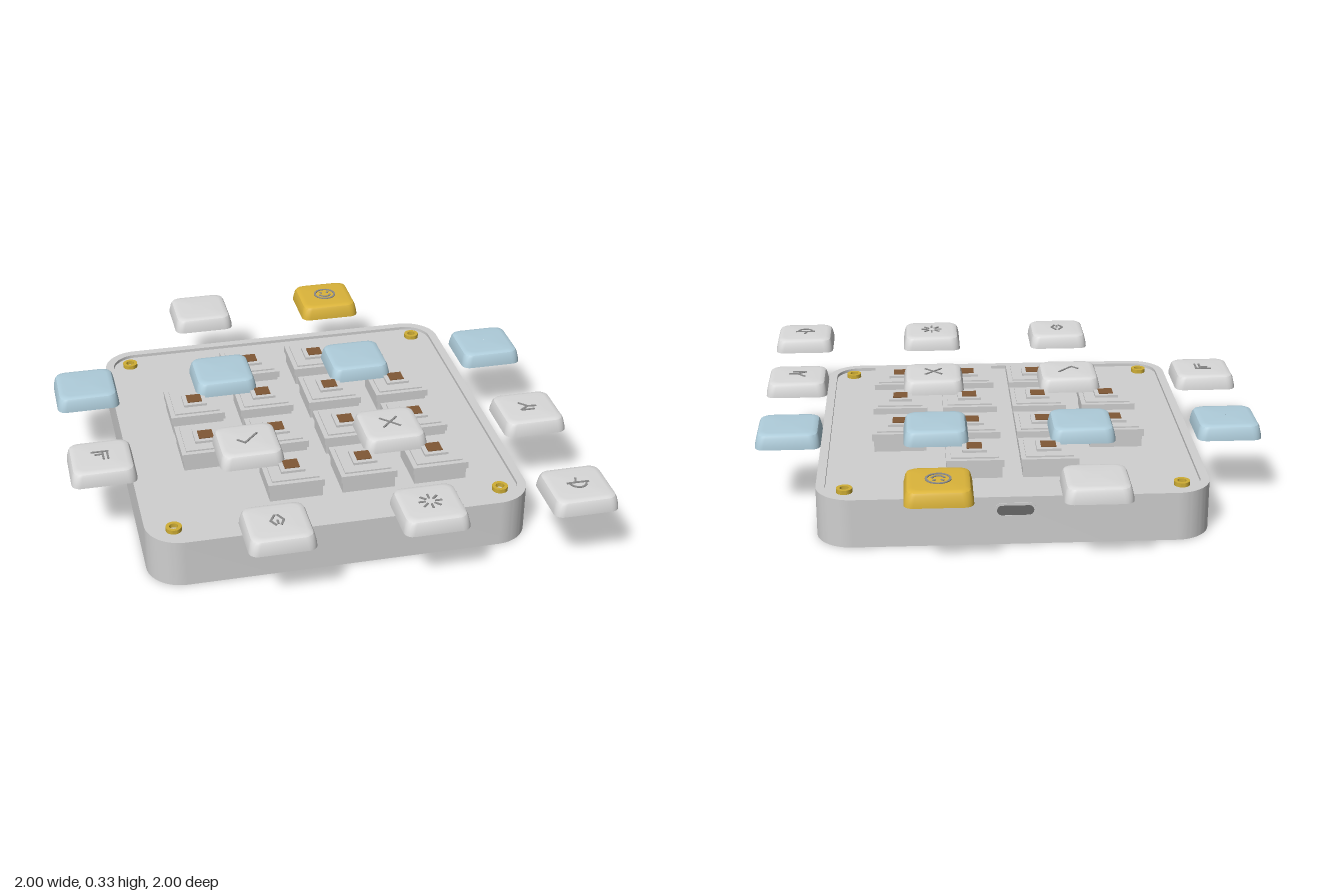
import * as THREE from 'three';
import { toCreasedNormals } from 'three/addons/utils/BufferGeometryUtils.js';

const mat = (name, color) => {
  const m = new THREE.MeshStandardMaterial({ color });
  m.name = name;
  return m;
};

// Rounded rectangle outline (half sizes)
function roundedRect(hx, hy, r, Type = THREE.Shape) {
  const s = new Type();
  s.absarc(hx - r, hy - r, r, 0, Math.PI / 2);
  s.absarc(r - hx, hy - r, r, Math.PI / 2, Math.PI);
  s.absarc(r - hx, r - hy, r, Math.PI, Math.PI * 1.5);
  s.absarc(hx - r, r - hy, r, Math.PI * 1.5, Math.PI * 2);
  s.closePath();
  return s;
}

// Flat shape raised along y
function slab(shape, y0, y1) {
  const g = new THREE.ExtrudeGeometry(shape, { depth: y1 - y0, bevelEnabled: false, curveSegments: 12 });
  g.rotateX(-Math.PI / 2).translate(0, y0, 0);
  return toCreasedNormals(g, 0.6);
}

// Skin through rounded-square rings [half size, corner radius, y]
function loft(rings) {
  const pos = [], idx = [], seg = 5, n = 4 * (seg + 1);
  for (const [h, r, y] of rings) {
    for (let c = 0; c < 4; c++) {
      const mid = (c + 0.5) * Math.PI / 2;
      for (let k = 0; k <= seg; k++) {
        const a = (c + k / seg) * Math.PI / 2;
        const x = Math.sign(Math.cos(mid)) * (h - r) + Math.cos(a) * r;
        const z = Math.sign(Math.sin(mid)) * (h - r) + Math.sin(a) * r;
        pos.push(x, y, -z);
      }
    }
  }
  for (let i = 0; i < rings.length - 1; i++) {
    for (let j = 0; j < n; j++) {
      const a = i * n + j, b = i * n + (j + 1) % n;
      idx.push(a, b, b + n, a, b + n, a + n);
    }
  }
  const g = new THREE.BufferGeometry();
  g.setAttribute('position', new THREE.Float32BufferAttribute(pos, 3));
  g.setIndex(idx);
  return toCreasedNormals(g, 0.5);
}

// Points of an arc in the x-z plane
const arc = (r, a0, a1, n = 12) => Array.from({ length: n + 1 }, (_, i) => {
  const a = a0 + (a1 - a0) * i / n;
  return [r * Math.cos(a), r * Math.sin(a)];
});

export function createModel() {
  const model = new THREE.Group();
  model.name = 'macroPad';
  const caseMat = mat('case grey', 0xd0d0d0);
  const capMat = mat('key white', 0xdadada);
  const blue = mat('key blue', 0xafcddb);
  const yellow = mat('key yellow', 0xdbb43a);
  const brown = mat('stem brown', 0x805835);
  const gold = mat('screw gold', 0xcfae35);
  const legendMat = mat('legend grey', 0x8c8c8c);
  const dark = mat('port dark', 0x6a6a6a);

  const add = (parent, name, geo, material, x = 0, y = 0, z = 0) => {
    const m = new THREE.Mesh(geo, material);
    m.name = name;
    m.position.set(x, y, z);
    parent.add(m);
    return m;
  };

  // Case rim with a sunken top plate
  const rim = roundedRect(0.755, 0.755, 0.14);
  rim.holes.push(roundedRect(0.72, 0.72, 0.105, THREE.Path));
  add(model, 'caseWall', slab(rim, 0, 0.195), caseMat);
  add(model, 'topPlate', slab(roundedRect(0.72, 0.72, 0.105), 0, 0.182), caseMat);

  // Cable port on the back
  const portRim = roundedRect(0.08, 0.03, 0.029);
  portRim.holes.push(roundedRect(0.07, 0.02, 0.019, THREE.Path));
  const ringGeo = new THREE.ExtrudeGeometry(portRim, { depth: 0.004, bevelEnabled: false });
  add(model, 'portRim', ringGeo, caseMat, 0, 0.14, -0.758);
  const portGeo = new THREE.ExtrudeGeometry(roundedRect(0.07, 0.02, 0.019), { depth: 0.003, bevelEnabled: false });
  add(model, 'portOpening', portGeo, dark, 0, 0.14, -0.7565);

  // Corner screws
  const screw = new THREE.Shape().absarc(0, 0, 0.031, 0, Math.PI * 2);
  screw.holes.push(new THREE.Path().absarc(0, 0, 0.017, 0, Math.PI * 2));
  const screwGeo = slab(screw, 0.18, 0.199);
  for (const x of [-0.645, 0.645]) {
    for (const z of [-0.645, 0.645]) add(model, 'screw', screwGeo, gold, x, 0, z);
  }

  // Switch body tiers [name, width, bottom, top, material]
  const tiers = [
    ['switchBase', 0.21, 0.18, 0.23, caseMat],
    ['switchFlange', 0.224, 0.23, 0.259, caseMat],
    ['switchLid', 0.186, 0.255, 0.265, caseMat],
    ['switchCollar', 0.096, 0.26, 0.275, caseMat],
    ['switchStem', 0.06, 0.265, 0.278, brown],
  ].map(([name, w, y0, y1, m]) => [name, new THREE.BoxGeometry(w, y1 - y0, w), m, (y0 + y1) / 2]);

  // Hollow keycap: inner ceiling, inner wall, rim, outer wall, top
  const capGeo = loft([
    [0.001, 0.0005, 0.302], [0.075, 0.015, 0.302], [0.112, 0.026, 0.265],
    [0.128, 0.034, 0.265], [0.127, 0.036, 0.28], [0.121, 0.036, 0.308],
    [0.116, 0.036, 0.318], [0.108, 0.034, 0.323], [0.095, 0.03, 0.3245], [0.001, 0.0005, 0.326],
  ]);
  const postGeo = new THREE.BoxGeometry(0.05, 0.036, 0.05);

  // Icons as strokes of [x, z] points
  const rays = Array.from({ length: 8 }, (_, i) => {
    const c = Math.cos(i * Math.PI / 4), s = Math.sin(i * Math.PI / 4);
    return [[0.02 * c, 0.02 * s], [0.044 * c, 0.044 * s]];
  });
  const icons = {
    smile: [arc(0.045, 0, Math.PI * 2, 20), arc(0.024, 0.3, Math.PI - 0.3, 8),
      [[-0.018, -0.018], [-0.012, -0.012]], [[0.012, -0.012], [0.018, -0.018]]],
    bars: [[[-0.035, -0.026], [0.03, -0.026]], [[-0.022, -0.006], [0.006, -0.006]],
      [[0.008, -0.015], [0.008, 0.028]], [[0.026, -0.026], [0.026, 0.028]]],
    check: [[[-0.042, 0.004], [-0.016, 0.03], [0.042, -0.034]]],
    cross: [[[-0.034, -0.034], [0.034, 0.034]], [[-0.034, 0.034], [0.034, -0.034]]],
    pointer: [[[-0.03, -0.03], [0.0, 0.0], [-0.034, 0.024]], [[0.0, 0.0], [0.034, 0.004]], [[-0.03, 0.026], [0.02, 0.026]]],
    leaves: [[[-0.006, -0.034], [-0.026, 0.0], [-0.01, 0.028]], [[0.006, -0.034], [0.024, 0.0], [0.01, 0.028]], [[0, 0.0], [0, 0.02]]],
    burst: rays,
    bowl: [[[-0.042, -0.002], [0.042, -0.002]], arc(0.032, 0.2, Math.PI - 0.2, 8), [[0.0, -0.03], [-0.008, -0.004]]],
  };
  const drawIcon = (parent, strokes) => {
    const icon = new THREE.Group();
    icon.name = 'legend';
    for (const pts of strokes) {
      for (let i = 1; i < pts.length; i++) {
        const [x0, z0] = pts[i - 1], [x1, z1] = pts[i];
        const len = Math.hypot(x1 - x0, z1 - z0);
        const bar = add(icon, 'legendStroke', new THREE.BoxGeometry(len + 0.004, 0.005, 0.008), legendMat,
          (x0 + x1) / 2, 0.3262, (z0 + z1) / 2);
        bar.rotation.y = -Math.atan2(z1 - z0, x1 - x0);
      }
    }
    parent.add(icon);
  };

  // Key layout: [column, row, colour, icon]
  const keys = [
    [1, 0, capMat], [2, 0, yellow, 'smile'],
    [0, 1, blue], [1, 1, blue], [2, 1, blue], [3, 1, blue],
    [0, 2, capMat, 'bars'], [1, 2, capMat, 'check'], [2, 2, capMat, 'cross'], [3, 2, capMat, 'pointer'],
    [1, 3, capMat, 'leaves'], [2, 3, capMat, 'burst'], [3, 3, capMat, 'bowl'],
  ];
  for (const [col, row, material, icon] of keys) {
    const u = col - 1.5, v = row - 1.5;
    const sw = new THREE.Group();
    sw.name = 'switch';
    sw.position.set(u * 0.29 - 0.002, 0, v * 0.29 - 0.003);
    for (const [name, geo, m, y] of tiers) add(sw, name, geo, m, 0, y, 0);
    model.add(sw);

    // Caps float at twice the switch spacing
    const cap = new THREE.Group();
    cap.name = 'keycap';
    cap.position.set(u * 0.581, 0, v * 0.581);
    add(cap, 'capShell', capGeo, material);
    add(cap, 'capPost', postGeo, brown, 0, 0.286, 0);
    if (icon) drawIcon(cap, icons[icon]);
    model.add(cap);
  }
  return model;
}
